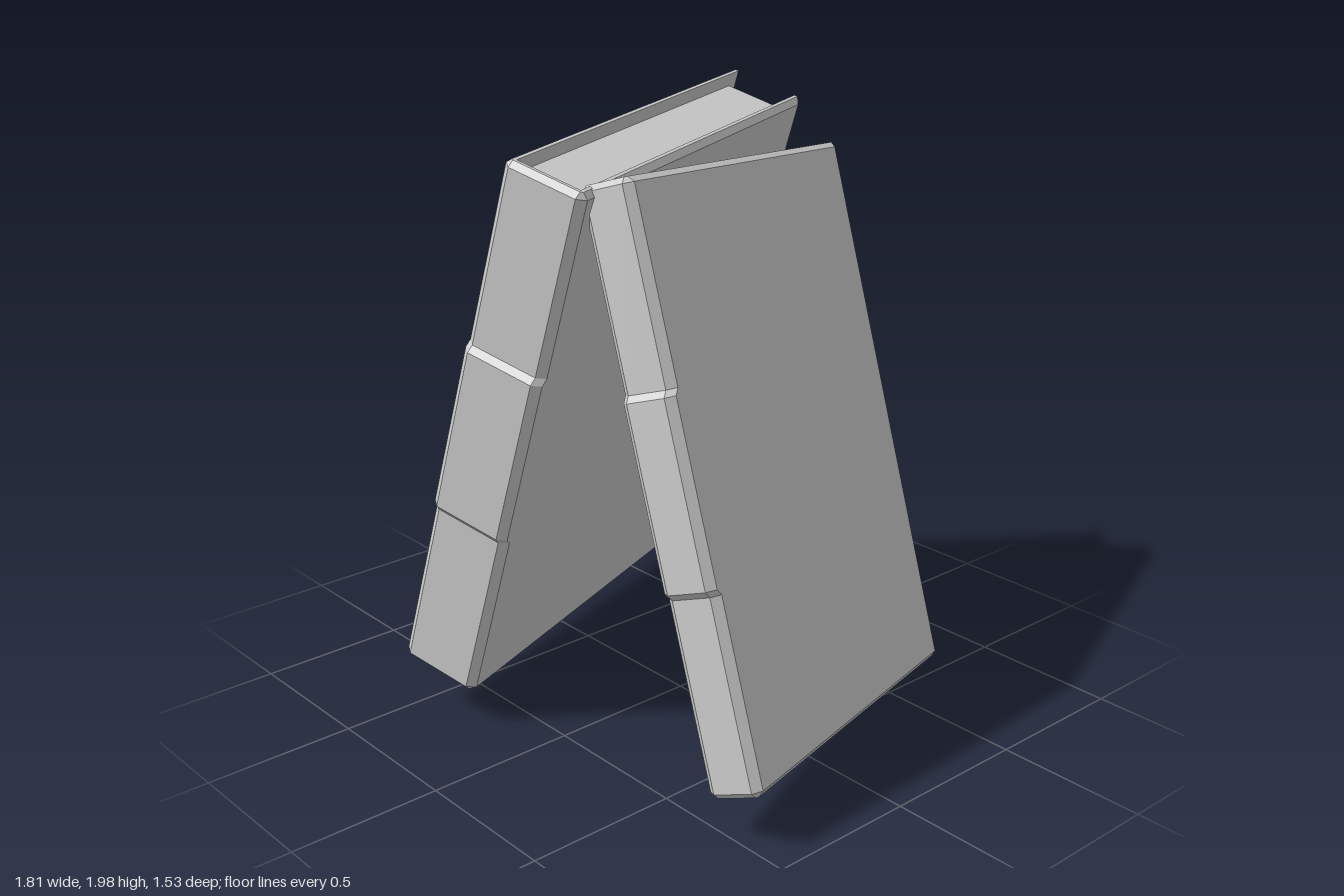
import * as THREE from 'three';

const H = 0.9;        // half height of a book
const ZF = 0.675;     // spine face
const ZB = -0.67;     // fore-edge of the covers
const T = 0.03;       // cover thickness
const C = 0.018;      // bevel of cover edges
const S = 0.025;      // bevel of spine corners
const GAP = 0.045;    // pages set back from the cover edges
const BUMP = 0.018;   // raised middle panel of the spine

// U-shaped cross-section of the case; inset bevels the ends, bump raises the spine
function caseSection(h, inset, bump) {
  const right = [
    [h - T, ZB],
    [h - C, ZB],
    [h - inset, ZB + C],
    [h - inset, ZF - S + bump],
    [h - S, ZF - inset + bump],
  ];
  const left = right.map(([x, z]) => [-x, z]).reverse();
  return [...right, ...left, [-(h - T), ZF - T], [h - T, ZF - T]];
}

// Case lofted through sections stacked along the spine
function caseGeometry(h) {
  const stations = [
    [-H, C, 0], [-H + C, 0, 0],
    [-0.3, 0, 0], [-0.28, 0, BUMP],
    [0.28, 0, BUMP], [0.3, 0, 0],
    [H - C, 0, 0], [H, C, 0],
  ];
  const sections = stations.map(([, inset, bump]) => caseSection(h, inset, bump));
  const n = sections[0].length;
  const pos = [];
  const idx = [];
  sections.forEach((sec, k) => sec.forEach(([x, z]) => pos.push(x, stations[k][0], z)));
  for (let k = 0; k < sections.length - 1; k++) {
    for (let i = 0; i < n; i++) {
      const a = k * n + i;
      const b = k * n + (i + 1) % n;
      idx.push(a, a + n, b, b, a + n, b + n);
    }
  }
  // Head and tail caps
  const contour = sections[0].map(([x, z]) => new THREE.Vector2(x, z));
  const top = (sections.length - 1) * n;
  for (const [a, b, c] of THREE.ShapeUtils.triangulateShape(contour, [])) {
    idx.push(a, b, c, top + a, top + c, top + b);
  }
  const g = new THREE.BufferGeometry();
  g.setAttribute('position', new THREE.Float32BufferAttribute(pos, 3));
  g.setIndex(idx);
  const flat = g.toNonIndexed();
  flat.computeVertexNormals();
  return flat;
}

// One book: spine faces local +z, height along y, thickness along x
function makeBook(name, h, material) {
  const book = new THREE.Group();
  book.name = name;

  const cover = new THREE.Mesh(caseGeometry(h), material);
  cover.name = 'coverAndSpine';

  const front = ZF - T;
  const back = ZB + GAP;
  const pages = new THREE.Mesh(
    new THREE.BoxGeometry(2 * (h - T), 2 * (H - GAP), front - back), material);
  pages.name = 'pages';
  pages.position.z = (front + back) / 2;

  book.add(cover, pages);
  return book;
}

// Tilt a book so its spine runs along up and faces along facing
function place(book, center, up, facing) {
  const y = new THREE.Vector3(...up).normalize();
  const x = new THREE.Vector3().crossVectors(y, new THREE.Vector3(...facing)).normalize();
  const z = new THREE.Vector3().crossVectors(x, y);
  book.quaternion.setFromRotationMatrix(new THREE.Matrix4().makeBasis(x, y, z));
  book.position.set(...center);
  return book;
}

export function createModel() {
  const material = new THREE.MeshStandardMaterial({ color: 0xcccccc, flatShading: true });
  const model = new THREE.Group();
  model.name = 'leaningBooks';
  model.add(
    place(makeBook('thickBook', 0.14, material),
      [-0.324, 1.06, 0.05], [0.289, 0.956, -0.05], [0.316, -0.053, 0.947]),
    place(makeBook('thinBook', 0.088, material),
      [0.337, 0.955, -0.105], [-0.311, 0.95, 0], [0.319, 0.1, 0.943]),
  );
  return model;
}
